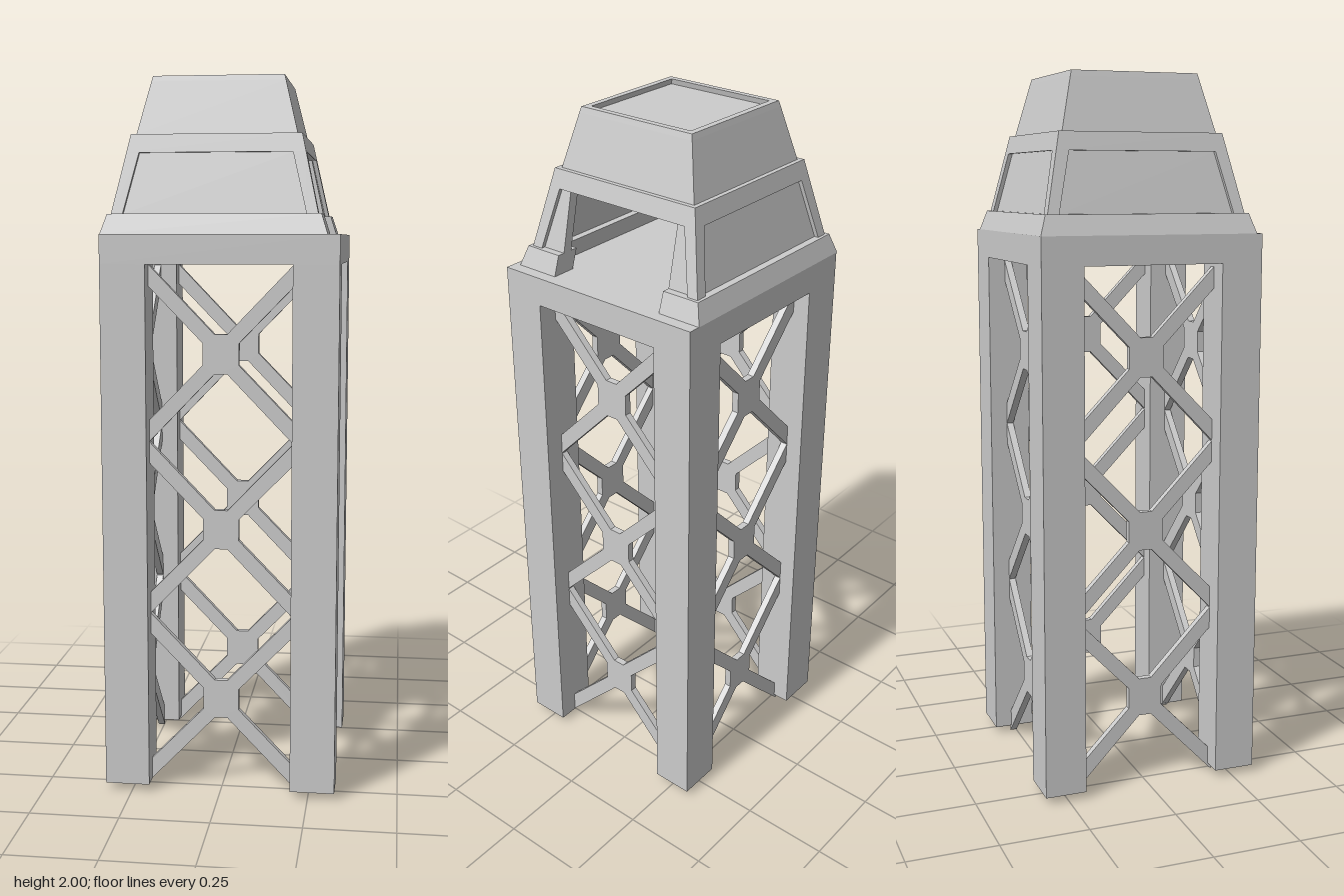
import * as THREE from 'three';

const material = new THREE.MeshStandardMaterial({ color: 0xcccccc, flatShading: true });

function addMesh(parent, name, geometry, x = 0, y = 0, z = 0) {
  const mesh = new THREE.Mesh(geometry, material);
  mesh.name = name;
  mesh.position.set(x, y, z);
  parent.add(mesh);
  return mesh;
}

// Six-sided block of a sloping wall facing +z. The wall's half width runs from
// h0 at y0 to h1 at y1; a and b are the [bottom, top] left and right limits,
// clipped to the mitre at the corners; d0 and d1 are depths behind the face.
function wallBlock({ y0, y1, h0, h1, a = [-9, -9], b = [9, 9], d0 = 0, d1 = 0.04 }) {
  const pos = [];
  [[y0, h0, 0], [y1, h1, 1]].forEach(([y, h, i]) => {
    const o = h - d0, n = h - d1;
    pos.push(Math.max(a[i], -o), y, o, Math.min(b[i], o), y, o,
      Math.min(b[i], n), y, n, Math.max(a[i], -n), y, n);
  });
  const index = [0, 3, 2, 0, 2, 1, 4, 5, 6, 4, 6, 7];
  for (let i = 0; i < 4; i++) {
    const j = (i + 1) % 4;
    index.push(i, j, j + 4, i, j + 4, i + 4);
  }
  const g = new THREE.BufferGeometry();
  g.setAttribute('position', new THREE.Float32BufferAttribute(pos, 3));
  g.setIndex(index);
  const flat = g.toNonIndexed();
  flat.computeVertexNormals();
  return flat;
}

// X-shaped brace with a gusset plate in its middle
function braceGeometry() {
  const arm = [[0.05, 0.03], [0.21, 0.195], [0.21, 0.255], [0.018, 0.055]];
  const points = [];
  for (const [sx, sy] of [[1, 1], [-1, 1], [-1, -1], [1, -1]]) {
    const quarter = arm.map(([x, y]) => new THREE.Vector2(x * sx, y * sy));
    points.push(...(sx * sy > 0 ? quarter : quarter.reverse()));
  }
  const g = new THREE.ExtrudeGeometry(new THREE.Shape(points), { depth: 0.02, bevelEnabled: false });
  return g.translate(0, 0, -0.01);
}

function buildFrame() {
  const frame = new THREE.Group();
  frame.name = 'frame';
  for (const sx of [-1, 1]) for (const sz of [-1, 1]) {
    addMesh(frame, 'leg', new THREE.BoxGeometry(0.125, 1.47, 0.118), sx * 0.2625, 0.755, sz * 0.258);
  }
  addMesh(frame, 'deck', new THREE.BoxGeometry(0.65, 0.08, 0.634), 0, 1.53, 0);

  // Three stacked braces on each side, slightly staggered in height
  const brace = braceGeometry();
  const lift = [0.01, 0.01, 0, 0];
  for (let side = 0; side < 4; side++) {
    const group = new THREE.Group();
    group.name = 'sideBraces';
    group.rotation.y = side * Math.PI / 2;
    for (let i = 0; i < 3; i++) addMesh(group, 'brace', brace, 0, 0.255 + i * 0.49 + lift[side], 0.258);
    frame.add(group);
  }
  return frame;
}

function buildCabin() {
  const cabin = new THREE.Group();
  cabin.name = 'cabin';
  cabin.position.set(-0.018, 0, -0.009);
  const halfAt = y => 0.282 + (0.234 - 0.282) * (y - 1.625) / 0.215;
  const span = (y0, y1) => ({ y0, y1, h0: halfAt(y0), h1: halfAt(y1) });
  const door = [0.18, 0.18], panel = [0.25, 0.21];
  const neg = p => p.map(v => -v);

  for (let side = 0; side < 4; side++) {
    const wall = new THREE.Group();
    wall.name = 'wall';
    wall.rotation.y = side * Math.PI / 2;
    cabin.add(wall);
    const sill = { y0: 1.57, y1: 1.625, h0: 0.309, h1: 0.291, d1: 0.07 };
    const middle = span(1.625, 1.79);

    addMesh(wall, 'lintel', wallBlock(span(1.79, 1.84)));
    addMesh(wall, 'cornerPost', wallBlock({ ...middle, b: neg(panel) }));
    addMesh(wall, 'cornerPost', wallBlock({ ...middle, a: panel }));
    if (side === 1) {
      // The doorway cuts through the sill and the recessed panel
      for (const limits of [{ a: door }, { b: neg(door) }]) addMesh(wall, 'sill', wallBlock({ ...sill, ...limits }));
      addMesh(wall, 'panel', wallBlock({ ...middle, a: door, b: panel, d0: 0.012 }));
      addMesh(wall, 'panel', wallBlock({ ...middle, a: neg(panel), b: neg(door), d0: 0.012 }));
    } else {
      addMesh(wall, 'sill', wallBlock(sill));
      addMesh(wall, 'panel', wallBlock({ ...middle, a: neg(panel), b: panel, d0: 0.012 }));
    }
    addMesh(wall, 'roofRim', wallBlock({ y0: 1.985, y1: 2, h0: 0.185, h1: 0.181, d1: 0.018 }));
  }

  // Tapered roof block inside the raised rim
  const roof = new THREE.CylinderGeometry(0.185 * Math.SQRT2, 0.221 * Math.SQRT2, 0.145, 4, 1);
  addMesh(cabin, 'roof', roof.rotateY(Math.PI / 4), 0, 1.9125, 0);
  return cabin;
}

export function createModel() {
  const model = new THREE.Group();
  model.name = 'tower';
  model.add(buildFrame(), buildCabin());
  return model;
}
